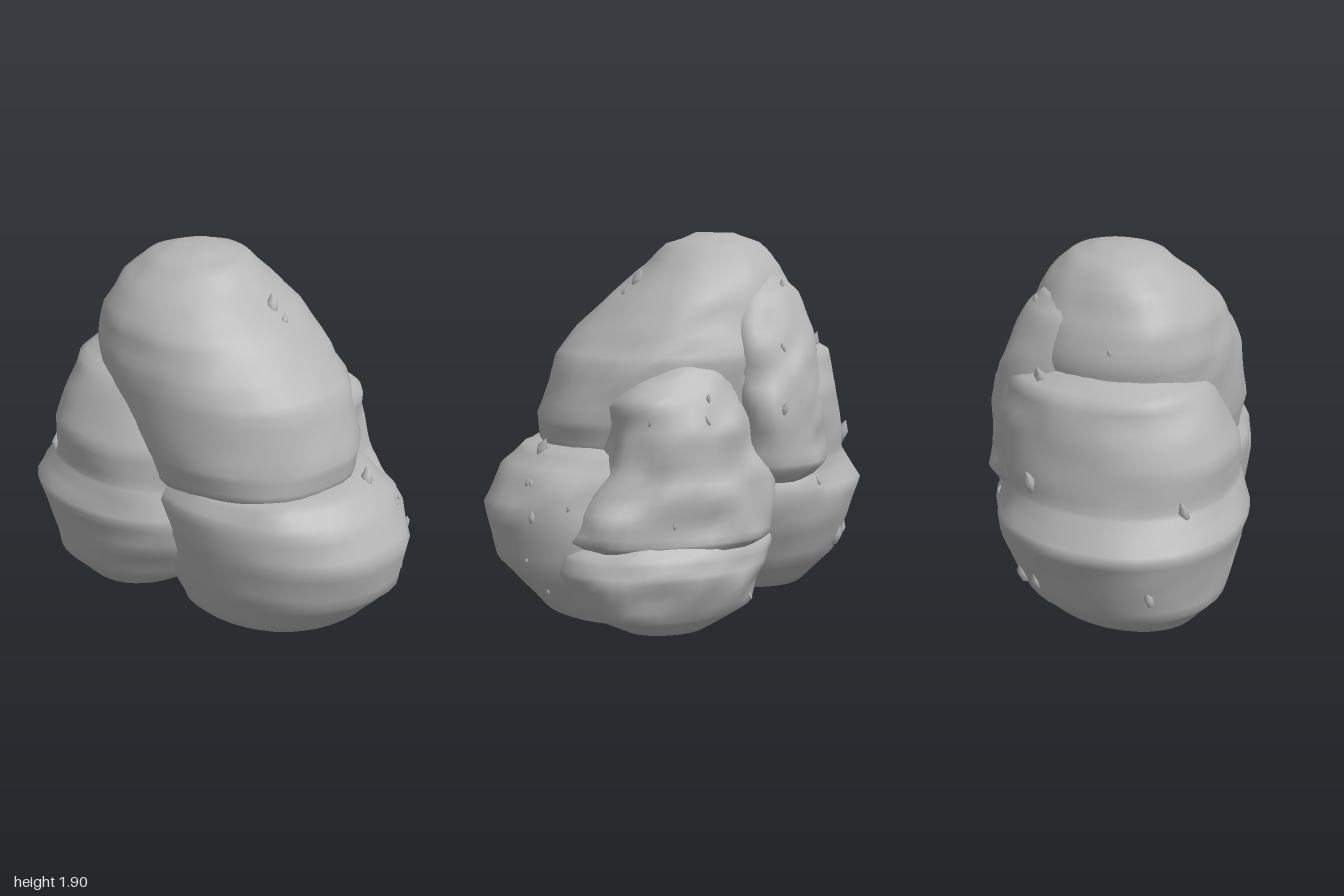
import * as THREE from 'three';

const stone = new THREE.MeshStandardMaterial({ color: 0xb4b4b4 });
stone.name = 'grey stone';

// Seeded lattice noise, -1 to 1
function hash(i, j, k) {
  const s = Math.sin(i * 127.1 + j * 311.7 + k * 74.7) * 43758.5453;
  return (s - Math.floor(s)) * 2 - 1;
}
function noise(x, y, z) {
  const i = Math.floor(x), j = Math.floor(y), k = Math.floor(z);
  const u = x - i, v = y - j, w = z - k, mix = THREE.MathUtils.lerp;
  const row = (b, c) => mix(hash(i, b, c), hash(i + 1, b, c), u);
  return mix(mix(row(j, k), row(j + 1, k), v), mix(row(j, k + 1), row(j + 1, k + 1), v), w);
}

// Boulder from rings [y, x min, x max, z min, z max], skewed and roughened
function boulder(name, rings, { power = 2.1, skew = 0, rough = 0.016, seed = 0, tilt = 0 } = {}) {
  const around = 40, sub = 4, rows = [], pos = [], index = [];
  for (let i = 0; i < rings.length - 1; i++) {
    for (let s = 0; s < sub; s++) {
      rows.push(rings[i].map((v, n) => THREE.MathUtils.lerp(v, rings[i + 1][n], s / sub)));
    }
  }
  rows.push(rings[rings.length - 1]);
  const drop = (x, y) => y - tilt * (x - 0.6) * Math.max(0, 1 - y * 1.5);
  for (const [y, x0, x1, z0, z1] of rows) {
    for (let j = 0; j < around; j++) {
      const a = j / around * Math.PI * 2, c = Math.cos(a), s = Math.sin(a);
      const round = v => Math.sign(v) * Math.abs(v) ** (2 / power);
      const dz = round(s) * (z1 - z0) / 2;
      let x = (x0 + x1) / 2 + round(c) * (x1 - x0) / 2 + skew * dz;
      let z = (z0 + z1) / 2 + dz;
      // The +x side is broken and rougher than the worn faces
      const broken = 0.8 + THREE.MathUtils.smoothstep(x, 0.2, 0.5);
      const d = rough * (noise(x * 4 + seed, y * 4, z * 4) + broken * noise(x * 9, y * 9 + seed, z * 9));
      x += c * d;
      z += s * d;
      pos.push(x, drop(x, y) + d * 0.4, z);
    }
  }
  for (let i = 0; i < rows.length - 1; i++) {
    for (let j = 0; j < around; j++) {
      const a = i * around + j, b = i * around + (j + 1) % around;
      index.push(a, a + around, b, b, a + around, b + around);
    }
  }
  // End caps
  const last = (rows.length - 1) * around, centre = pos.length / 3;
  for (const [y, x0, x1, z0, z1] of [rows[0], rows[rows.length - 1]]) {
    pos.push((x0 + x1) / 2, drop((x0 + x1) / 2, y), (z0 + z1) / 2);
  }
  for (let j = 0; j < around; j++) {
    const n = (j + 1) % around;
    index.push(centre, j, n, centre + 1, last + n, last + j);
  }
  const g = new THREE.BufferGeometry();
  g.setAttribute('position', new THREE.Float32BufferAttribute(pos, 3));
  g.setIndex(index);
  g.computeVertexNormals();
  const mesh = new THREE.Mesh(g, stone);
  mesh.name = name;
  return mesh;
}

export function createModel() {
  const model = new THREE.Group();
  model.name = 'boulderPile';
  const rocks = new THREE.Group();
  rocks.name = 'boulders';

  rocks.add(
    boulder('crownBoulder', [
      [0.7, -0.42, 0.34, -0.3, 0.55], [0.86, -0.53, 0.43, -0.42, 0.71],
      [1, -0.555, 0.47, -0.55, 0.72], [1.28, -0.56, 0.49, -0.65, 0.63],
      [1.42, -0.56, 0.45, -0.65, 0.51], [1.58, -0.52, 0.38, -0.61, 0.35],
      [1.73, -0.41, 0.28, -0.53, 0.16], [1.84, -0.28, 0.18, -0.42, 0.06],
      [1.89, -0.14, 0.06, -0.3, -0.08]], { power: 2.2, skew: 0.06 }),
    boulder('frontBoulder', [
      [0.02, -0.25, 0.5, -0.05, 0.5], [0.05, -0.4, 0.58, -0.25, 0.73],
      [0.3, -0.47, 0.63, -0.42, 0.95], [0.56, -0.52, 0.63, -0.52, 1],
      [0.75, -0.54, 0.57, -0.5, 0.91], [0.86, -0.48, 0.48, -0.35, 0.79],
      [0.91, -0.15, 0.2, 0, 0.5]], { seed: 11, tilt: 0.07 }),
    // One tall rock with a shallow waist at the ledge
    boulder('backBoulder', [
      [0.1, -0.55, 0.2, -0.7, -0.12], [0.25, -0.69, 0.34, -0.87, 0.1],
      [0.45, -0.74, 0.44, -0.94, 0.23], [0.62, -0.78, 0.47, -1, 0.27],
      [0.72, -0.73, 0.46, -0.93, 0.25], [0.8, -0.7, 0.47, -0.88, 0.22],
      [0.98, -0.71, 0.5, -0.85, 0.2], [1.13, -0.65, 0.48, -0.82, 0.14],
      [1.3, -0.56, 0.42, -0.78, 0.05], [1.38, -0.37, 0.28, -0.64, -0.2]], { power: 2.15, skew: 0.05, seed: 23 }),
    // Broken slabs along the +x flank
    boulder('upperFlankSlab', [
      [0.38, 0, 0.66, -0.28, 0.6], [0.46, 0, 0.72, -0.36, 0.67],
      [0.6, 0, 0.7, -0.38, 0.63], [0.78, 0, 0.67, -0.36, 0.5],
      [0.95, 0, 0.65, -0.28, 0.46], [1.08, 0, 0.61, -0.24, 0.45],
      [1.2, 0, 0.54, -0.2, 0.36], [1.34, 0, 0.43, -0.17, 0.08]], { power: 2.7, skew: 0.06, rough: 0.02, seed: 41 }),
    boulder('footSlab', [
      [0, 0.25, 0.6, -0.05, 0.4], [0.1, 0.05, 0.7, -0.25, 0.62],
      [0.3, 0, 0.77, -0.34, 0.72], [0.4, 0, 0.74, -0.36, 0.7],
      [0.48, 0, 0.66, -0.32, 0.6]], { power: 2.2, skew: 0.08, rough: 0.018, seed: 67, tilt: 0.07 }),
    boulder('shoulderSlab', [
      [0.66, 0, 0.44, -0.62, -0.18], [0.78, 0, 0.52, -0.68, -0.2],
      [1, 0, 0.54, -0.68, -0.18], [1.22, 0, 0.51, -0.66, -0.16],
      [1.42, 0, 0.43, -0.63, -0.15], [1.6, 0, 0.34, -0.57, -0.18],
      [1.69, 0, 0.25, -0.48, -0.25]], { power: 2.4, skew: 0.25, rough: 0.018, seed: 71 }));
  model.add(rocks);
  rocks.updateMatrixWorld(true);

  // Small pointed shards, dropped onto the surface along a ray
  const shards = new THREE.Group();
  shards.name = 'shards';
  const ray = new THREE.Raycaster();
  const outline = [[0, -1], [0.7, -0.7], [1, 0.2], [0, 1]].map(p => new THREE.Vector2(...p));
  const shardShape = new THREE.LatheGeometry(outline, 6);
  function shard(from, dir, size, lean) {
    ray.set(new THREE.Vector3(...from), new THREE.Vector3(...dir));
    const hit = ray.intersectObjects(rocks.children)[0];
    if (!hit) return;
    const m = new THREE.Mesh(shardShape, stone);
    m.name = 'shard';
    m.position.copy(hit.point);
    m.scale.set(size * 0.5, size, size * 0.45);
    m.rotation.set(lean, lean, lean * 0.6);
    shards.add(m);
  }
  const front = [[0.21, 0.86, 0.06], [0.05, 1.66, 0.06], [0.06, 1.6, 0.025], [0.33, 0.72, 0.025], [0.37, 0.35, 0.02]];
  const back = [[0.12, 0.87, 0.07], [0.14, 1.34, 0.06], [-0.6, 0.8, 0.06], [0.2, 0.35, 0.06], [-0.5, 0.4, 0.05], [-0.2, 1.5, 0.02]];
  const side = [[-0.38, 1.06, 0.04], [0.01, 1.13, 0.025], [0.02, 1.03, 0.025], [0.3, 1.03, 0.02], [0.83, 0.57, 0.035],
    [0.82, 0.72, 0.025], [-0.84, 0.36, 0.05], [0.2, 0.55, 0.02], [-0.22, 0.15, 0.025], [0.3, 1.6, 0.03],
    [-0.45, 1.64, 0.03], [-0.6, 0.68, 0.025], [0.67, 0.62, 0.02], [0.75, 0.2, 0.02], [-0.4, 1.35, 0.025]];
  front.forEach(([x, y, s]) => shard([x, y, 3], [0, 0, -1], s, -0.4));
  back.forEach(([x, y, s]) => shard([x, y, -3], [0, 0, 1], s, -0.35));
  side.forEach(([z, y, s], i) => shard([3, y, z], [-1, 0, 0], s, (i % 3 - 1) * 0.35));
  model.add(shards);

  // Settle the pile on the ground and centre it
  const box = new THREE.Box3().setFromObject(model, true);
  const mid = box.getCenter(new THREE.Vector3());
  for (const part of [rocks, shards]) part.position.set(-mid.x, -box.min.y, -mid.z);
  return model;
}
